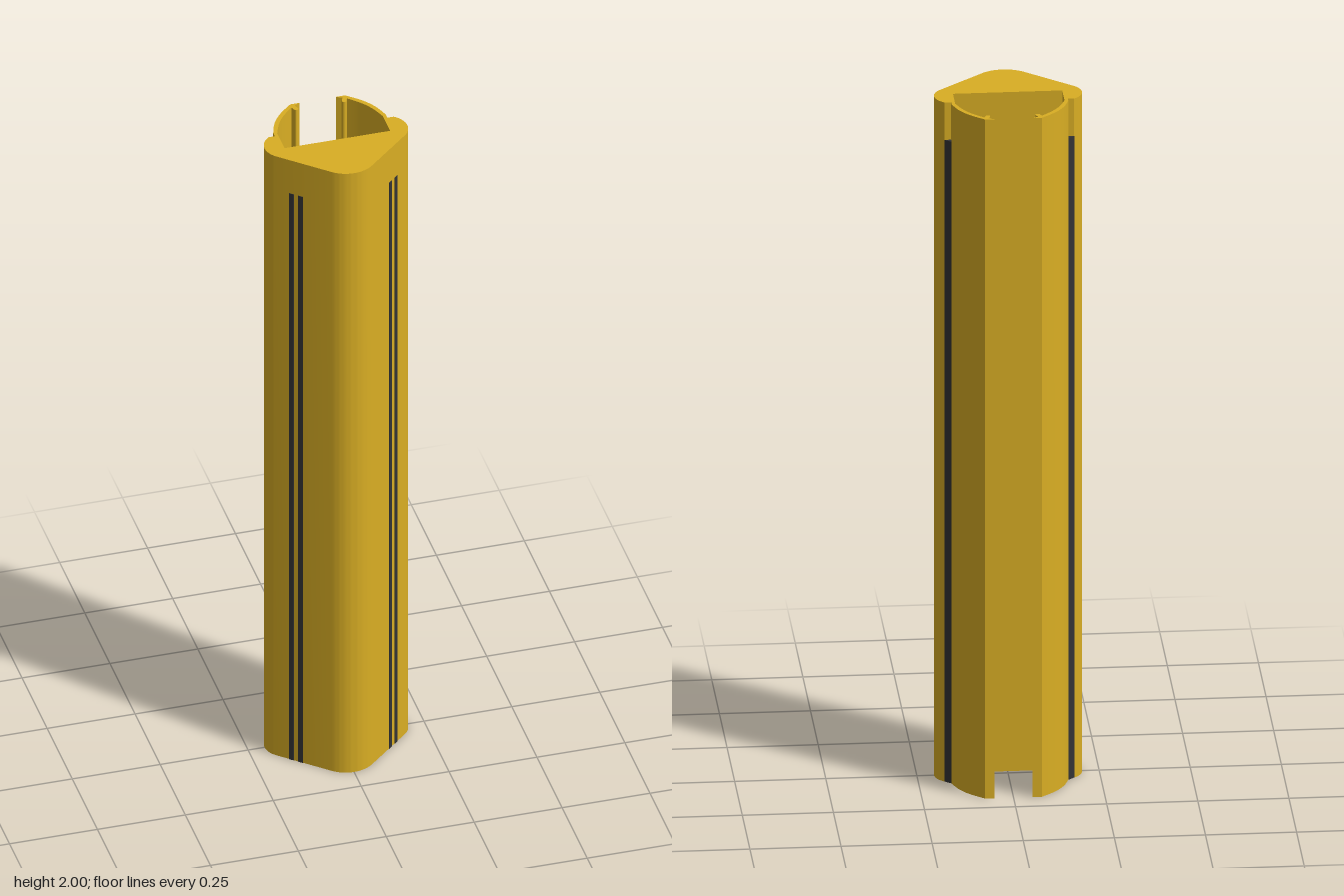
import * as THREE from 'three';
import { toCreasedNormals } from 'three/addons/utils/BufferGeometryUtils.js';

const HEIGHT = 2;
const STRIP_HEIGHT = 1.89;

const P = (x, z) => new THREE.Vector2(x, z);

// Points along a circle in the plan (x, z), angle measured from +x towards +z
function arc(cx, cz, r, from, to, n) {
  return Array.from({ length: n + 1 }, (_, i) => {
    const a = from + ((to - from) * i) / n;
    return P(cx + r * Math.cos(a), cz + r * Math.sin(a));
  });
}

const curve = (pts, n) => new THREE.SplineCurve(pts.map(([x, z]) => P(x, z))).getPoints(n);

// Extrudes a plan outline upwards from y = 0
function extrudePlan(points, height) {
  const shape = new THREE.Shape(points.map((p) => P(p.x, -p.y)));
  const geo = new THREE.ExtrudeGeometry(shape, { depth: height, bevelEnabled: false });
  geo.rotateX(-Math.PI / 2);
  return toCreasedNormals(geo, 0.45);
}

export function createModel() {
  const gold = new THREE.MeshStandardMaterial({ color: 0xd9ae24 });
  gold.name = 'gold';
  const charcoal = new THREE.MeshStandardMaterial({ color: 0x333335 });
  charcoal.name = 'charcoal';

  const group = new THREE.Group();
  group.name = 'channelProfile';
  const add = (name, geo, mat) => {
    const mesh = new THREE.Mesh(geo, mat);
    mesh.name = name;
    group.add(mesh);
    return mesh;
  };

  // Rounded nose and side lobe, joined by their common tangent
  const nose = { z: 0.094, r: 0.086 };
  const lobe = { x: 0.143, r: 0.06 };
  const tangent = Math.atan2(-nose.z, lobe.x)
    + Math.acos((nose.r - lobe.r) / Math.hypot(lobe.x, nose.z));
  const nosePoints = arc(0, nose.z, nose.r, Math.PI / 2, tangent, 10);
  const lobePoints = arc(lobe.x, 0, lobe.r, tangent, -0.955, 18);

  // Half outline: nose, lobe, strip notch, curved arm, hook, inner channel wall
  const half = [
    ...nosePoints,
    ...lobePoints,
    P(0.16, -0.049),
    ...curve([[0.16, -0.065], [0.144, -0.108], [0.117, -0.147], [0.078, -0.183]], 14),
    P(0.052, -0.183),
    P(0.068, -0.174),
    ...arc(0.0685, -0.159, 0.0065, Math.PI + 0.4, 0.4 - 0.2, 8),
    P(0.079, -0.168),
    ...curve([[0.079, -0.168], [0.112, -0.134], [0.134, -0.1], [0.15, -0.06]], 10).slice(1),
    P(0.15, 0.013),
  ];
  const mirrored = half.slice(1).reverse().map((p) => P(-p.x, p.y));
  add('body', extrudePlan([...half, ...mirrored], HEIGHT), gold);

  const a = nosePoints[nosePoints.length - 1];
  const b = lobePoints[0];
  for (const [side, s] of [['left', 1], ['right', -1]]) {
    // Wedge strip seated in the notch behind the lobe
    const wedge = [P(s * 0.16, -0.065), P(s * 0.178, -0.049), P(s * 0.16, -0.049)];
    add(side + 'EdgeStrip', extrudePlan(wedge, STRIP_HEIGHT), charcoal);

    // Pair of thin inlaid lines on the sloping front face
    [0.1275, 0.1485].forEach((x, i) => {
      const t = (x - a.x) / (b.x - a.x);
      const line = add(side + 'FrontLine' + (i + 1),
        new THREE.BoxGeometry(0.0145, STRIP_HEIGHT, 0.003), charcoal);
      line.position.set(s * x, STRIP_HEIGHT / 2, a.y + (b.y - a.y) * t);
      line.rotation.y = s * (Math.PI / 2 - tangent);
    });
  }
  return group;
}
